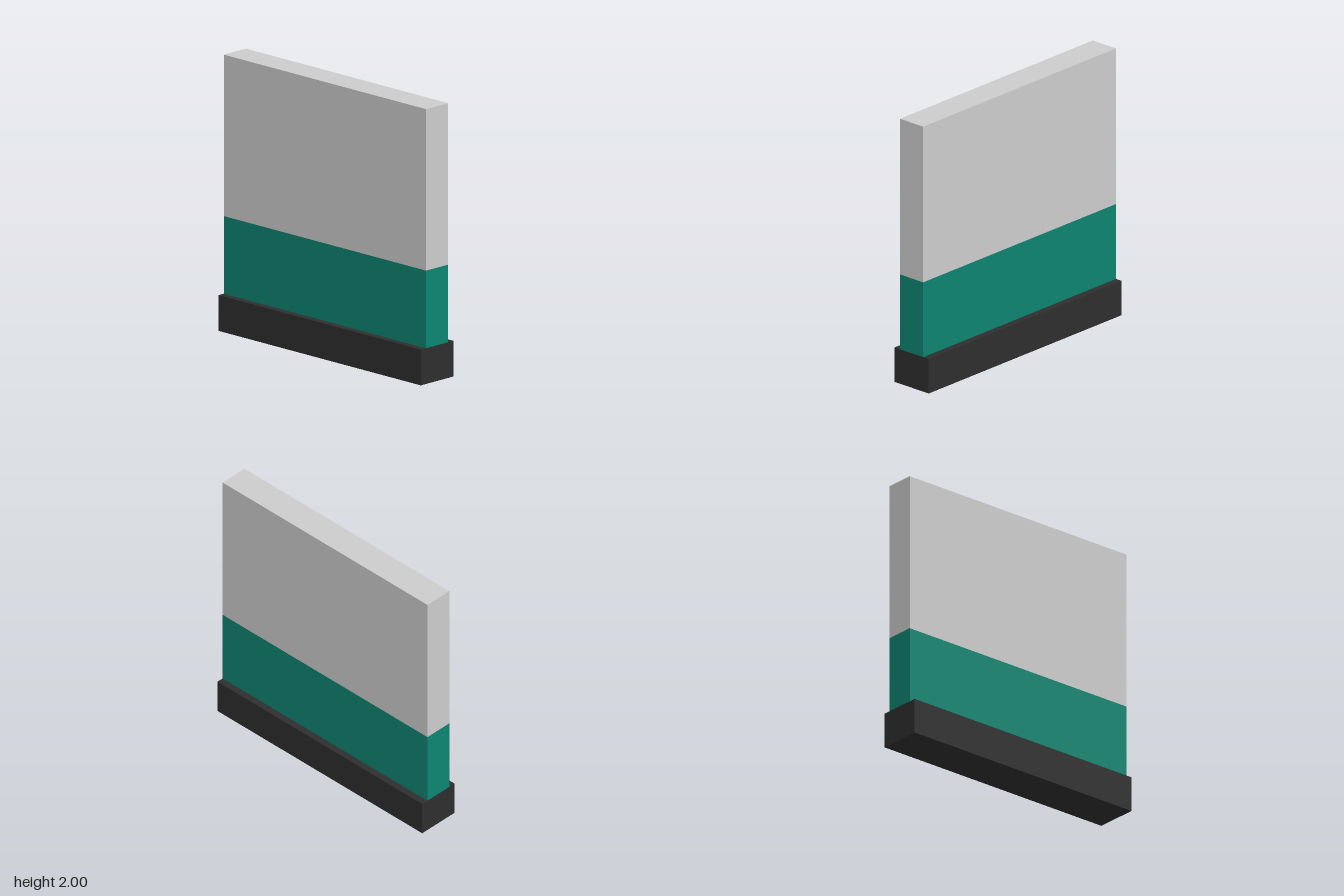
import * as THREE from 'three';

const material = (name, color) => {
  const m = new THREE.MeshStandardMaterial({ color });
  m.name = name;
  return m;
};

export function createModel() {
  const group = new THREE.Group();
  group.name = 'wallSegment';

  // Full-width block spanning the heights y0 to y1
  const block = (name, y0, y1, depth, mat) => {
    const mesh = new THREE.Mesh(new THREE.BoxGeometry(2, y1 - y0, depth), mat);
    mesh.name = name;
    mesh.position.y = (y0 + y1) / 2;
    group.add(mesh);
  };

  // Wide plinth, painted lower wall, plain upper wall
  block('plinth', 0, 0.26, 0.325, material('charcoal', 0x2e2e2e));
  block('lowerWall', 0.26, 0.825, 0.22, material('teal green', 0x0d8471));
  block('upperWall', 0.825, 2, 0.22, material('light grey', 0xcccccc));

  return group;
}
